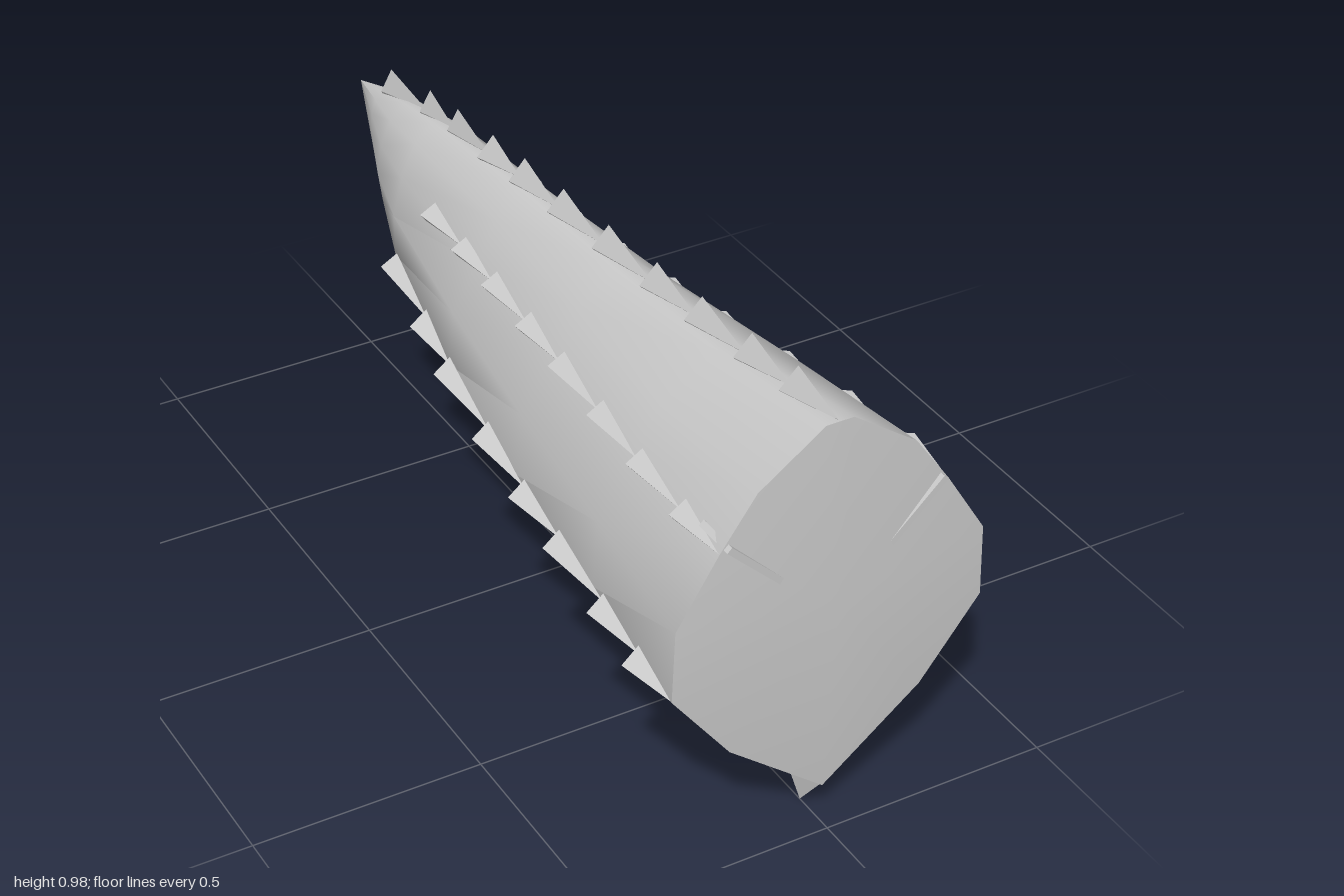
import * as THREE from 'three';
import { toCreasedNormals } from 'three/addons/utils/BufferGeometryUtils.js';
import { ConvexGeometry } from 'three/addons/geometries/ConvexGeometry.js';

// Half cross-sections (x, y) from the spine down to the keel, front to back
const STATIONS = [
  { z: 0.975, p: [[0, .945], [.03, .945], [.172, .845], [.25, .735], [.34, .59], [.345, .43], [.215, .26], [0, .09]] },
  { z: 0.6, p: [[0, .90], [.03, .895], [.155, .81], [.215, .72], [.29, .585], [.30, .435], [.19, .285], [0, .125]] },
  { z: 0.2, p: [[0, .865], [.025, .86], [.11, .79], [.165, .70], [.24, .58], [.255, .44], [.165, .31], [0, .16]] },
  { z: -0.2, p: [[0, .84], [.02, .835], [.08, .775], [.125, .685], [.185, .58], [.195, .455], [.125, .345], [0, .225]] },
  { z: -0.6, p: [[0, .80], [.02, .795], [.065, .755], [.10, .68], [.122, .59], [.12, .49], [.075, .43], [0, .37]] },
  { z: -0.75, p: [[0, .775], [.015, .77], [.05, .735], [.075, .68], [.085, .61], [.075, .54], [.045, .49], [0, .44]] },
  { z: -0.87, p: [[0, .745], [.01, .742], [.028, .725], [.038, .69], [.04, .64], [.035, .59], [.02, .55], [0, .51]] },
  { z: -1, p: Array(8).fill([0, .705]) },
];
const SPINE = 0, UPPER = 3, LOWER = 5, KEEL = 7;

// Point on one lengthwise line of the body at depth z
function rail(index, z) {
  let i = 0;
  while (i < STATIONS.length - 2 && z < STATIONS[i + 1].z) i++;
  const a = STATIONS[i], b = STATIONS[i + 1];
  const t = THREE.MathUtils.clamp((z - a.z) / (b.z - a.z), 0, 1);
  const [p, q] = [a.p[index], b.p[index]];
  return new THREE.Vector3(p[0] + (q[0] - p[0]) * t, p[1] + (q[1] - p[1]) * t, z);
}

const fullRing = (half) => [...half, ...half.slice(1, -1).reverse().map(([x, y]) => [-x, y])];

function bodyGeometry() {
  const pos = [], index = [];
  const n = fullRing(STATIONS[0].p).length;
  for (const s of STATIONS) for (const [x, y] of fullRing(s.p)) pos.push(x, y, s.z);
  for (let i = 0; i < STATIONS.length - 1; i++) {
    for (let j = 0; j < n; j++) {
      const a = i * n + j, b = i * n + (j + 1) % n;
      index.push(a, b, a + n);
      if (i < STATIONS.length - 2) index.push(b, b + n, a + n);
    }
  }
  // Shallow pointed front cap
  const centre = pos.length / 3;
  pos.push(0, .55, 1);
  for (let j = 0; j < n; j++) index.push(centre, (j + 1) % n, j);
  const g = new THREE.BufferGeometry();
  g.setAttribute('position', new THREE.Float32BufferAttribute(pos, 3));
  g.setIndex(index);
  return toCreasedNormals(g, 0.65);
}

// Row of backward-leaning wedge teeth along one line of the body
function teeth(name, line, tips, out, across, material, side = 1) {
  const row = new THREE.Group();
  row.name = name;
  let front = 0.97;
  for (const z of tips) {
    const back = z - 0.02;
    const shrink = z < -0.5 ? 0.6 : 1;
    const base = rail(line, back);
    const w = across.clone().multiplyScalar(shrink);
    const points = [
      rail(line, front),
      base.clone().add(w),
      base.clone().sub(w),
      base.clone().addScaledVector(out, -0.6),
      rail(line, z).add(out),
    ];
    points.forEach((p) => { p.x *= side; });
    const tooth = new THREE.Mesh(new ConvexGeometry(points), material);
    tooth.name = 'tooth';
    row.add(tooth);
    front = back;
  }
  return row;
}

// Thin saw fin under the keel
function keelGeometry() {
  const tips = [[.9, 0], [.73, .03], [.54, .05], [.36, .07], [.16, .10], [-.04, .13],
    [-.24, .18], [-.45, .24], [-.59, .29], [-.7, .35], [-.8, .43]];
  const shape = new THREE.Shape();
  shape.moveTo(.97, rail(KEEL, .97).y);
  tips.forEach(([z, y], i) => {
    shape.lineTo(z, y);
    const notch = i < tips.length - 1 ? (z + tips[i + 1][0]) / 2 - 0.02 : -0.83;
    shape.lineTo(notch, rail(KEEL, notch).y + 0.005);
  });
  for (const z of [-.8, -.6, -.2, .2, .6, .96]) shape.lineTo(z, rail(KEEL, z).y + 0.04);
  return new THREE.ShapeGeometry(shape).rotateY(-Math.PI / 2);
}

export function createModel() {
  const V = (x, y) => new THREE.Vector3(x, y, 0);
  const material = new THREE.MeshStandardMaterial({ color: 0xcccccc });
  const flat = new THREE.MeshStandardMaterial({ color: 0xcccccc, flatShading: true });
  const thin = new THREE.MeshStandardMaterial({ color: 0xcccccc, side: THREE.DoubleSide });
  const model = new THREE.Group();
  model.name = 'serratedSpike';

  const body = new THREE.Mesh(bodyGeometry(), material);
  body.name = 'body';
  model.add(body);

  const keel = new THREE.Mesh(keelGeometry(), thin);
  keel.name = 'keelTeeth';
  model.add(keel);

  model.add(teeth('spineTeeth', SPINE,
    [.83, .67, .49, .32, .13, -.055, -.22, -.36, -.52, -.65, -.84],
    V(0, .055), V(.028, 0), flat));

  for (const side of [1, -1]) {
    const label = side > 0 ? 'left' : 'right';
    model.add(teeth(label + 'UpperTeeth', UPPER,
      [.83, .64, .45, .25, .08, -.1, -.26, -.42],
      V(.035, .012), V(.012, -.02), flat, side));
    model.add(teeth(label + 'LowerTeeth', LOWER,
      [.84, .67, .45, .27, .06, -.18, -.35, -.57],
      V(.046, .005), V(0, .02), flat, side));

    // Root of the upper blade showing through the front cap
    const root = new THREE.Mesh(new THREE.BoxGeometry(.176, .014, .1), material);
    root.name = label + 'BladeRoot';
    root.position.set(side * .173, .687, .938);
    root.rotation.z = side * Math.atan2(.12, .125);
    model.add(root);
  }
  return model;
}
